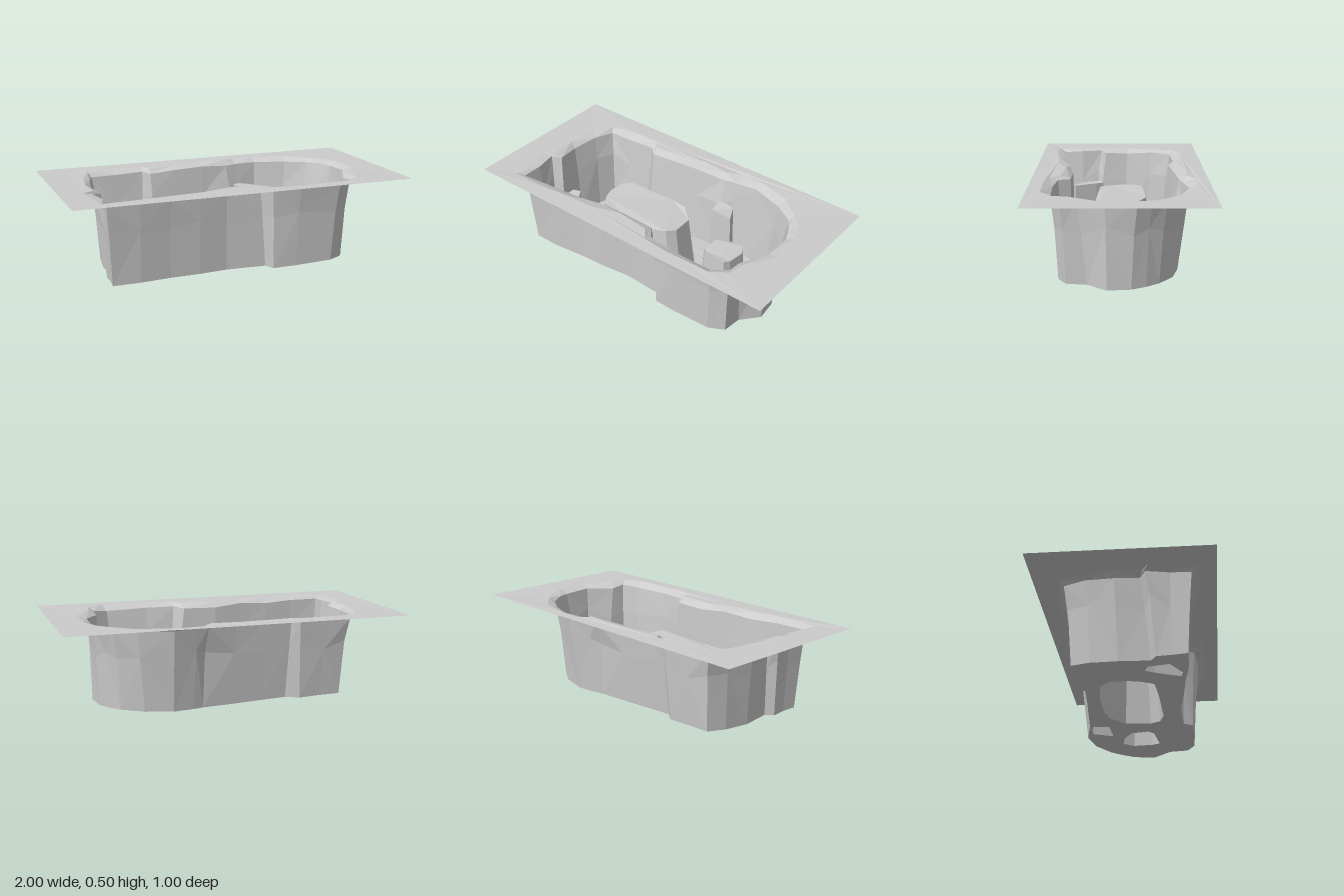
import * as THREE from 'three';

const material = new THREE.MeshStandardMaterial({
  color: 0xcccccc, flatShading: true, side: THREE.DoubleSide,
});

// Pit outline, row by row: x, z at the upper edge, then x, z at the floor
const PIT = [
  [-0.70, -0.33, -0.66, -0.285], [-0.55, -0.335, -0.53, -0.29], [-0.38, -0.345, -0.40, -0.30],
  [-0.34, -0.305, -0.33, -0.25], [-0.18, -0.31, -0.18, -0.26], [0.00, -0.325, 0.00, -0.275],
  [0.17, -0.345, 0.19, -0.29], [0.24, -0.36, 0.25, -0.305], [0.38, -0.385, 0.37, -0.325],
  [0.57, -0.325, 0.53, -0.29], [0.69, -0.25, 0.65, -0.21], [0.74, -0.17, 0.70, -0.14],
  [0.775, -0.09, 0.74, -0.06], [0.775, 0.08, 0.755, 0.07], [0.69, 0.23, 0.67, 0.175],
  [0.69, 0.32, 0.66, 0.29], [0.60, 0.37, 0.57, 0.335], [0.35, 0.375, 0.34, 0.34],
  [0.18, 0.355, 0.20, 0.335], [0.13, 0.285, 0.17, 0.28], [-0.07, 0.28, -0.07, 0.27],
  [-0.24, 0.305, -0.24, 0.295], [-0.42, 0.325, -0.42, 0.31], [-0.60, 0.35, -0.60, 0.335],
  [-0.79, 0.365, -0.76, 0.335], [-0.78, 0.25, -0.75, 0.25], [-0.805, 0.12, -0.75, 0.17],
  [-0.75, 0.09, -0.705, 0.14], [-0.77, -0.05, -0.72, -0.03], [-0.74, -0.21, -0.70, -0.18],
];

// Rock columns: base outline in x, z, top height and how much the top narrows
const COLUMNS = [
  { name: 'largePlateau', top: 0.33, taper: 0.87, base: [
    [-0.47, 0], [-0.46, -0.1], [-0.4, -0.16], [-0.24, -0.18], [-0.05, -0.18], [0.07, -0.155],
    [0.17, -0.07], [0.18, 0.08], [0.14, 0.14], [0.05, 0.165], [-0.24, 0.155], [-0.41, 0.14], [-0.45, 0.07]] },
  { name: 'roundColumn', top: 0.29, taper: 0.87, base: [
    [0.31, 0.055], [0.33, -0.05], [0.41, -0.1], [0.5, -0.115], [0.54, -0.05], [0.53, 0.07], [0.51, 0.115], [0.34, 0.09]] },
  { name: 'backColumn', top: 0.37, taper: 0.85, base: [
    [0.18, -0.27], [0.24, -0.29], [0.30, -0.285], [0.36, -0.165], [0.2, -0.175]] },
  { name: 'cornerColumn', top: 0.31, taper: 0.93, base: [
    [-0.635, 0.12], [-0.59, 0.1], [-0.555, 0.15], [-0.485, 0.29], [-0.53, 0.3], [-0.645, 0.235]] },
];

// Repeatable roughness from 0 to 1 for a spot on the ground
function rough(x, z) {
  const s = Math.sin(x * 127.1 + z * 311.7) * 437.58;
  return s - Math.floor(s);
}
// Gentle waves of the floor
const floorY = (x, z) => 0.01 + 0.007 * Math.sin(4 * x + 1) * Math.cos(9 * z);

function addMesh(group, name, geometry) {
  const mesh = new THREE.Mesh(geometry, material);
  mesh.name = name;
  group.add(mesh);
}

// Closed band of quads through rings of [x, y, z] points
function band(rings) {
  const n = rings[0].length, index = [];
  for (let r = 0; r < rings.length - 1; r++) {
    for (let i = 0; i < n; i++) {
      const a = r * n + i, b = r * n + (i + 1) % n;
      if ((i + r) % 2) index.push(a, a + n, b, b, a + n, b + n);
      else index.push(a, a + n, b + n, a, b + n, b);
    }
  }
  const g = new THREE.BufferGeometry();
  g.setAttribute('position', new THREE.Float32BufferAttribute(rings.flat(2), 3));
  g.setIndex(index);
  g.computeVertexNormals();
  return g;
}

// Level sheet with holes, raised by a height rule
function sheet(outline, holes, height) {
  const points = (list) => list.map(([x, z]) => new THREE.Vector2(x, -z));
  const shape = new THREE.Shape(points(outline));
  shape.holes = holes.map((h) => new THREE.Path(points(h)));
  const g = new THREE.ShapeGeometry(shape).rotateX(-Math.PI / 2);
  const p = g.attributes.position;
  for (let i = 0; i < p.count; i++) p.setY(i, height(p.getX(i), p.getZ(i)));
  g.computeVertexNormals();
  return g;
}

export function createModel() {
  const group = new THREE.Group();
  group.name = 'rockyPit';

  // Ground rim, dipping gently towards the pit edge
  const edge = PIT.map(([x, z]) => [x, 0.472 + 0.018 * rough(x, z), z]);
  const lip = PIT.map(([x, z]) => {
    const dx = x - THREE.MathUtils.clamp(x, -0.45, 0.45);
    const grow = (0.03 + 0.045 * rough(z, x)) / Math.hypot(dx, z);
    return [x + dx * grow, z + z * grow];
  });
  const corners = [[-1, -0.5], [1, -0.5], [1, 0.5], [-1, 0.5]];
  const groundY = (x, z) => (Math.abs(x) > 0.99 ? 0.505 : 0.499 + 0.01 * rough(x, z));
  addMesh(group, 'groundRim', sheet(corners, [lip], groundY));
  addMesh(group, 'rimSlope', band([lip.map(([x, z]) => [x, groundY(x, z), z]), edge]));

  // Pit walls, broken by a rough fold at mid height
  const fold = PIT.map(([x, z, u, w]) => {
    const t = 0.3 + 0.35 * rough(u, w);
    return [x + (u - x) * t, 0.28 + 0.08 * rough(w, u), z + (w - z) * t];
  });
  const foot = PIT.map(([, , u, w]) => [u, floorY(u, w), w]);
  addMesh(group, 'pitWalls', band([edge, fold, foot]));

  // Pit floor, open below each column
  addMesh(group, 'pitFloor', sheet(
    PIT.map(([, , u, w]) => [u, w]), COLUMNS.map((c) => c.base), floorY));

  // Hollow rock columns: sides and cap
  for (const { name, top, taper, base } of COLUMNS) {
    const cx = base.reduce((s, p) => s + p[0], 0) / base.length;
    const cz = base.reduce((s, p) => s + p[1], 0) / base.length;
    const cap = base.map(([x, z]) => [cx + (x - cx) * taper, cz + (z - cz) * taper]);
    const capY = (x, z) => top + 0.016 * (rough(x, z) - 0.5);
    addMesh(group, name + 'Sides', band([
      cap.map(([x, z]) => [x, capY(x, z), z]), base.map(([x, z]) => [x, floorY(x, z), z])]));
    addMesh(group, name + 'Cap', sheet(cap, [], capY));
  }
  return group;
}
